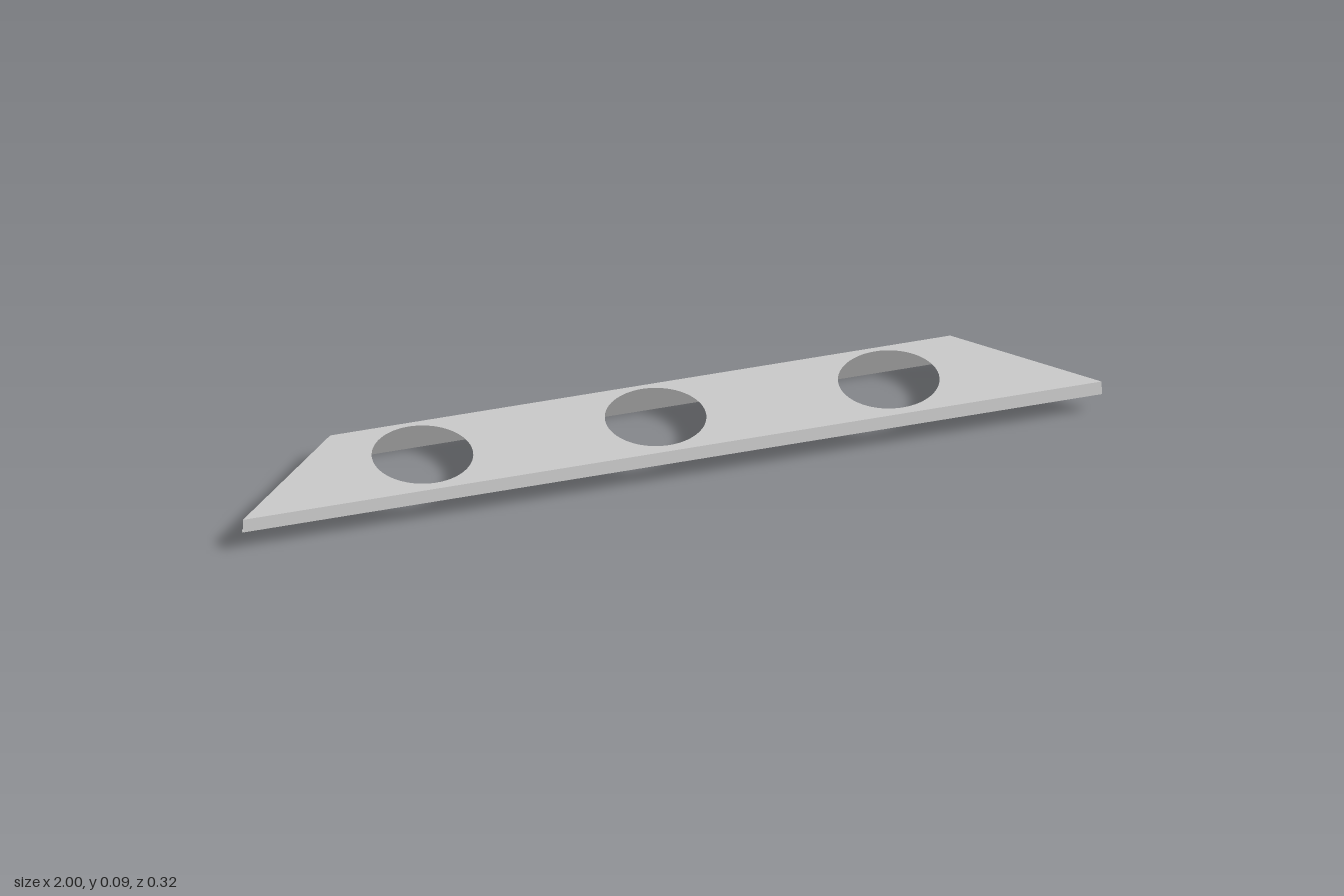
import * as THREE from 'three';

const material = new THREE.MeshStandardMaterial({ color: 0xcccccc, side: THREE.DoubleSide, flatShading: true });

// Sheet strip along x, folded through [halfWidth, y, z] stations
function foldedStrip(name, stations) {
  const positions = [];
  for (let i = 0; i < stations.length - 1; i++) {
    const [wa, ya, za] = stations[i];
    const [wb, yb, zb] = stations[i + 1];
    const a = [-wa, ya, za], b = [wa, ya, za], c = [wb, yb, zb], d = [-wb, yb, zb];
    positions.push(...a, ...d, ...c, ...a, ...c, ...b);
  }
  const geometry = new THREE.BufferGeometry();
  geometry.setAttribute('position', new THREE.Float32BufferAttribute(positions, 3));
  geometry.computeVertexNormals();
  const mesh = new THREE.Mesh(geometry, material);
  mesh.name = name;
  return mesh;
}

export function createModel() {
  const group = new THREE.Group();
  group.name = 'foldedPanel';
  const top = 0.093, front = 0.155, back = -0.11;

  // Trapezoid top sheet with three round holes (shape y is -z)
  const shape = new THREE.Shape([
    new THREE.Vector2(-1, -front), new THREE.Vector2(1, -front),
    new THREE.Vector2(0.722, -back), new THREE.Vector2(-0.722, -back),
  ]);
  for (const x of [-0.543, 0, 0.543]) {
    shape.holes.push(new THREE.Path().absarc(x, -0.018, 0.114, 0, Math.PI * 2, true));
  }
  const sheet = new THREE.Mesh(new THREE.ShapeGeometry(shape, 32), material);
  sheet.geometry.rotateX(-Math.PI / 2);
  sheet.position.y = top;
  sheet.name = 'topSheet';
  group.add(sheet);

  // Front face, folded under and down into a small return lip
  group.add(foldedStrip('frontFlange', [
    [1, top, front], [1, 0.062, 0.16], [1, 0.062, 0.148], [1, 0.054, 0.148],
  ]));

  // Sloping back face with an outward lip at its foot
  group.add(foldedStrip('backFlange', [
    [0.706, 0.006, -0.16], [0.706, 0, -0.141], [0.722, top, back],
  ]));
  return group;
}
